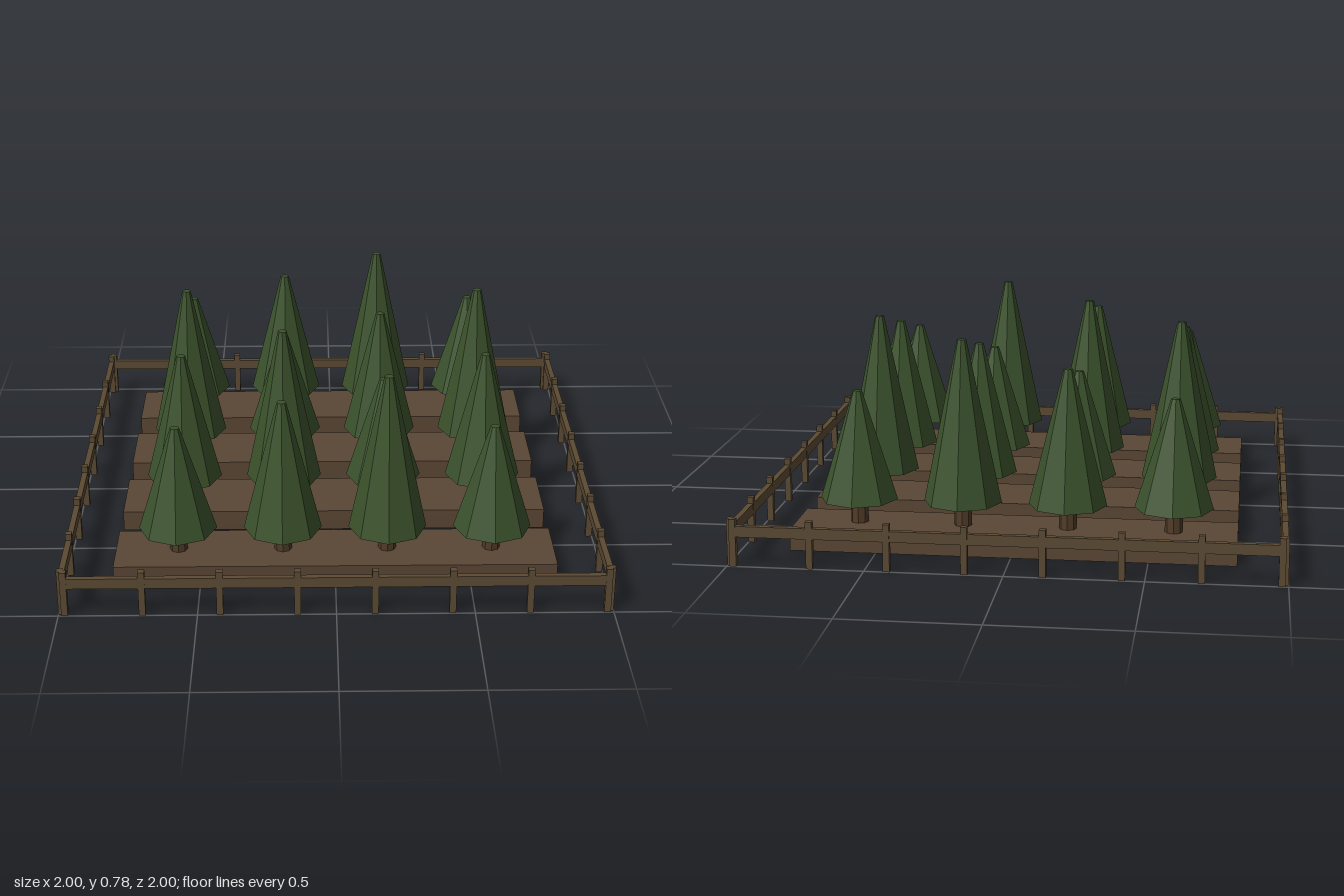
import * as THREE from 'three';

const material = (name, color) => {
  const m = new THREE.MeshStandardMaterial({ color, flatShading: true });
  m.name = name;
  return m;
};

export function createModel() {
  const soil = material('soil brown', 0x5a4635);
  const wood = material('fence wood', 0x5c4a33);
  const bark = material('bark brown', 0x513c29);
  const needles = material('needle green', 0x3b522c);

  const model = new THREE.Group();
  model.name = 'treeNursery';

  const add = (parent, name, geometry, mat, x, y, z) => {
    const mesh = new THREE.Mesh(geometry, mat);
    mesh.name = name;
    mesh.position.set(x, y, z);
    parent.add(mesh);
    return mesh;
  };

  // Planting beds with rows of trees in three repeating heights
  const bedGeo = new THREE.BoxGeometry(1.64, 0.08, 0.28);
  const trunkGeo = new THREE.CylinderGeometry(0.033, 0.033, 0.1, 8);
  const base = 0.17;
  const crownGeos = [0.58, 0.68, 0.78].map((top) =>
    new THREE.CylinderGeometry(0.017, 0.145, top - base, 8).translate(0, (top - base) / 2, 0));

  [0.65, 0.216, -0.216, -0.65].forEach((z, row) => {
    add(model, 'plantingBed', bedGeo, soil, 0, 0.04, z);
    for (let i = 0; i < 4; i++) {
      const tree = new THREE.Group();
      tree.name = 'tree';
      tree.position.set(-0.585 + i * 0.39, 0, z);
      add(tree, 'trunk', trunkGeo, bark, 0, 0.125, 0);
      add(tree, 'crown', crownGeos[(i + row) % 3], needles, 0, base, 0);
      model.add(tree);
    }
  });

  // Four identical fence sides, each with one rail and eight posts
  const postGeo = new THREE.BoxGeometry(0.024, 0.175, 0.024);
  const railGeo = new THREE.BoxGeometry(1.96, 0.04, 0.022);
  for (let s = 0; s < 4; s++) {
    const side = new THREE.Group();
    side.name = 'fenceSide';
    add(side, 'rail', railGeo, wood, 0, 0.13, 0.988);
    for (let i = 0; i < 8; i++) {
      add(side, 'post', postGeo, wood, -0.977 + (i * 1.954) / 7, 0.0875, 0.988);
    }
    side.rotation.y = (s * Math.PI) / 2;
    model.add(side);
  }

  return model;
}
